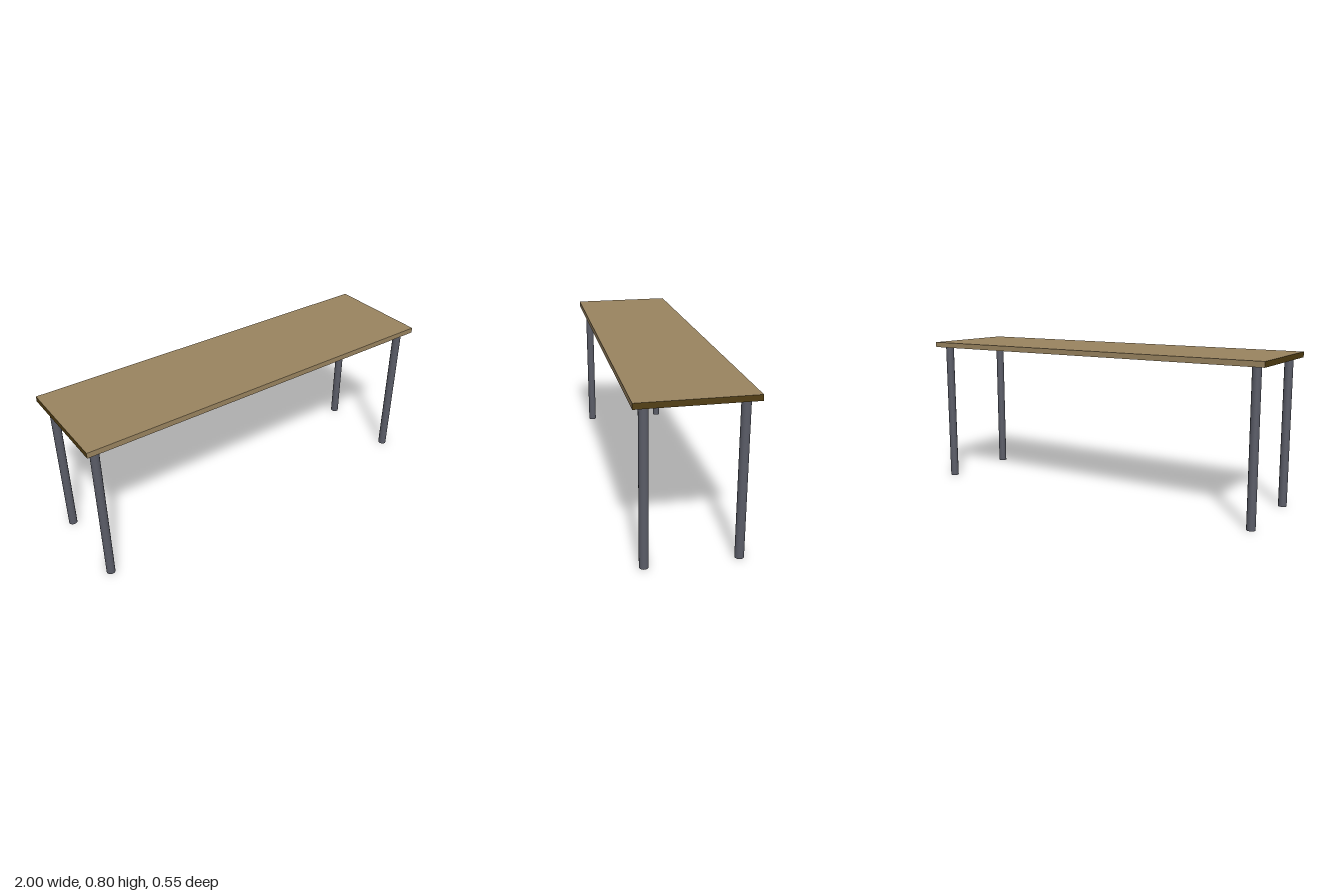
import * as THREE from 'three';

const HEIGHT = 0.8, THICK = 0.028, DEPTH = 0.554;
const LEG_X = 0.944, LEG_Z = 0.222, LEG_R = 0.022;

export function createModel() {
  const table = new THREE.Group();
  table.name = 'table';

  const wood = new THREE.MeshStandardMaterial({ color: 0x9a8460 });
  const darkWood = new THREE.MeshStandardMaterial({ color: 0x523e12 });
  const metal = new THREE.MeshStandardMaterial({ color: 0x5a5c67 });

  // Flat top, with dark faces on its two short ends
  const top = new THREE.Mesh(
    new THREE.BoxGeometry(2, THICK, DEPTH),
    [darkWood, darkWood, wood, wood, wood, wood]
  );
  top.name = 'tableTop';
  top.position.y = HEIGHT - THICK / 2;
  table.add(top);

  // Four round legs, one near each corner
  const legHeight = HEIGHT - THICK;
  const legGeometry = new THREE.CylinderGeometry(LEG_R, LEG_R, legHeight, 32);
  for (const [endName, z] of [['front', LEG_Z], ['back', -LEG_Z]]) {
    for (const [sideName, x] of [['Left', LEG_X], ['Right', -LEG_X]]) {
      const leg = new THREE.Mesh(legGeometry, metal);
      leg.name = `${endName}${sideName}Leg`;
      leg.position.set(x, legHeight / 2, z);
      table.add(leg);
    }
  }
  return table;
}
